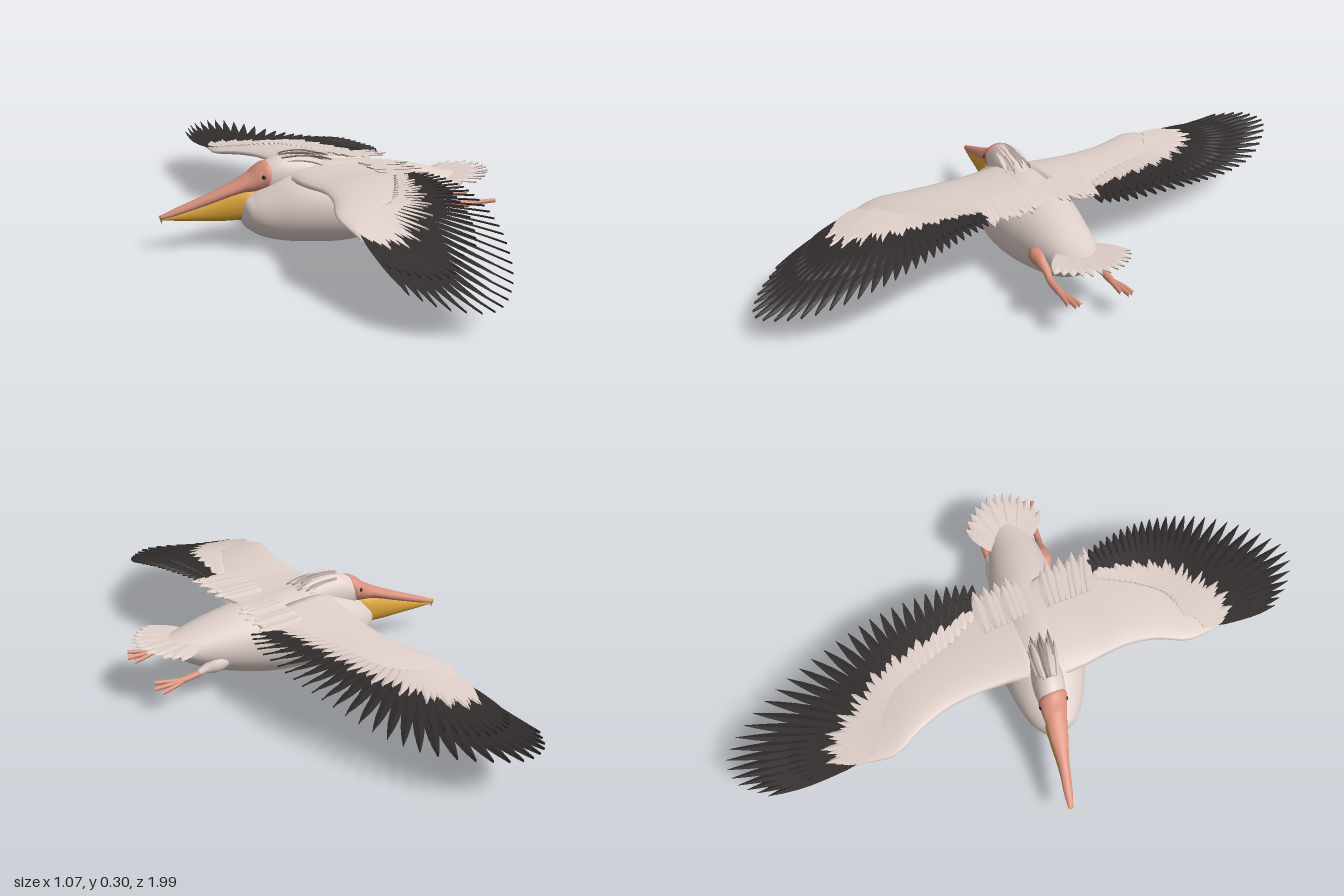
import * as THREE from 'three';
import { mergeGeometries } from 'three/addons/utils/BufferGeometryUtils.js';

const mat = (name, color) => Object.assign(new THREE.MeshStandardMaterial({ color }), { name });

// Smooth lookup: rows are [parameter, ...values]
function table(rows) {
  const k = rows[0].length - 1;
  const it = new THREE.CubicInterpolant(rows.map(r => r[0]), rows.flatMap(r => r.slice(1)), k, new Float32Array(k));
  return t => Array.from(it.evaluate(t));
}

// Closed skin over equal-sized rings of [x, y, z], always facing outward
function loft(rings, flat = false) {
  const n = rings[0].length, m = rings.length, pos = rings.flat(2), idx = [];
  for (let i = 0; i < m - 1; i++) for (let j = 0; j < n; j++) {
    const a = i * n + j, b = i * n + (j + 1) % n;
    idx.push(a, b, a + n, b, b + n, a + n);
  }
  for (let j = 1; j < n - 1; j++) {
    const e = (m - 1) * n;
    idx.push(0, j + 1, j, e, e + j, e + j + 1);
  }
  let vol = 0;
  const p = i => new THREE.Vector3().fromArray(pos, i * 3);
  for (let i = 0; i < idx.length; i += 3) vol += p(idx[i]).dot(p(idx[i + 1]).cross(p(idx[i + 2])));
  if (vol < 0) idx.reverse();
  let g = new THREE.BufferGeometry();
  g.setAttribute('position', new THREE.Float32BufferAttribute(pos, 3));
  g.setIndex(idx);
  if (flat) g = g.toNonIndexed();
  g.computeVertexNormals();
  return g;
}

// Oval sections along x: rows are [x, z, top, bottom, halfWidth]
function ovalLoft(rows, steps = 40, sides = 28) {
  const f = table(rows), x0 = rows[0][0], x1 = rows[rows.length - 1][0], rings = [];
  for (let i = 0; i <= steps; i++) {
    const x = x0 + (x1 - x0) * (1 - Math.cos(Math.PI * i / steps)) / 2;
    const [z, top, bot, w] = f(x), ring = [];
    for (let j = 0; j < sides; j++) {
      const a = j / sides * Math.PI * 2;
      ring.push([x, (top + bot) / 2 + Math.sin(a) * (top - bot) / 2, z + Math.cos(a) * Math.max(w, 0.001)]);
    }
    rings.push(ring);
  }
  return loft(rings);
}

// Thin pointed blade from (x0,z0) to (x1,z1); height(x, z, t) sets y
const SHAPE = [0.6, 0.85, 1, 1, 0.95, 0.8, 0.5, 0.08];
function feather(x0, z0, x1, z1, width, height, tilt = 0.003) {
  const l = Math.hypot(x1 - x0, z1 - z0), sx = -(z1 - z0) / l, sz = (x1 - x0) / l;
  return loft(SHAPE.map((s, i) => {
    const t = i / (SHAPE.length - 1), x = x0 + (x1 - x0) * t, z = z0 + (z1 - z0) * t;
    const y = height(x, z, t), w = s * width / 2;
    return [[x + sx * w, y + tilt, z + sz * w], [x, y + 0.003, z],
      [x - sx * w, y - tilt, z - sz * w], [x, y - 0.003, z]];
  }), true);
}

// Wing: arm rows [u, lead, trail, thickness], heights [u, y],
// quills [t, rootX, rootU, tipX, tipU], where u is the distance from the midline
function makeWing(name, side, arm, heights, quills, pitch, mats) {
  const wing = new THREE.Group();
  wing.name = name;
  const A = table(arm), H = table(heights), Q = table(quills);
  const Y = (x, z) => H(Math.abs(z))[0] + pitch * x;
  const add = (n, g, m) => { const o = new THREE.Mesh(g, m); o.name = n; wing.add(o); };

  // padded white arm
  const rings = [], u0 = arm[0][0], u1 = arm[arm.length - 1][0];
  for (let i = 0; i <= 30; i++) {
    const u = u0 + (u1 - u0) * i / 30, [xl, xt, th] = A(u), ring = [];
    for (let j = 0; j < 20; j++) {
      const a = j / 20 * Math.PI * 2, s = (1 - Math.cos(a)) / 2, x = xl + (xt - xl) * s;
      ring.push([x, Y(x, u) + Math.sin(a) * (th / 2) * (1 - 0.6 * s), side * u]);
    }
    rings.push(ring);
  }
  add('wingArm', loft(rings), mats.white);

  // dark flight feathers with a shorter layer, and white coverts over the roots
  const flight = [], mid = [], covert = [], N = 31;
  for (let i = 0; i < N; i++) {
    const [rx, ru, tx, tu] = Q(i / (N - 1)), long = i < 12;
    const at = k => [rx + (tx - rx) * k, side * (ru + (tu - ru) * k)];
    const lay = (k0, k1, w, dy) => feather(...at(k0), ...at(k1), w, (x, z) => Y(x, z) + dy, 0.003 * side);
    flight.push(lay(0, 1, long ? 0.04 : 0.036, 0));
    mid.push(lay(0, long ? 0.62 : 0.7, 0.042, 0.005));
    const k = 0.2 + 0.05 * (i % 3);
    covert.push(lay(-0.15, k, 0.04, 0.01), lay(-0.15, k, 0.04, -0.008));
  }
  add('flightFeathers', mergeGeometries(flight), mats.dark);
  add('darkCoverts', mergeGeometries(mid), mats.dark);
  add('whiteCoverts', mergeGeometries(covert), mats.white);
  return wing;
}

export function createModel() {
  const model = new THREE.Group();
  model.name = 'flyingPelican';
  const white = mat('pinkish white plumage', 0xdfcfc9), dark = mat('dark flight feather', 0x322d2d),
    pink = mat('salmon skin', 0xd9917c), yellow = mat('yellow pouch', 0xd9a136),
    grey = mat('grey crest', 0xa5978f), black = mat('eye black', 0x1c1615);
  const add = (name, g, m) => {
    const o = new THREE.Mesh(g, m);
    o.name = name;
    model.add(o);
    return o;
  };

  // body with bulging breast and tapering rump
  add('body', ovalLoft([
    [-0.302, 0.02, 0.125, 0.115, 0.005], [-0.295, 0.02, 0.15, 0.085, 0.035], [-0.27, 0.025, 0.172, 0.055, 0.066],
    [-0.23, 0.03, 0.2, 0.032, 0.092], [-0.17, 0.04, 0.235, 0.016, 0.117], [-0.1, 0.05, 0.255, 0.008, 0.135],
    [0, 0.063, 0.263, 0, 0.145], [0.1, 0.075, 0.256, 0.008, 0.138], [0.2, 0.09, 0.245, 0.03, 0.118],
    [0.3, 0.105, 0.223, 0.065, 0.095], [0.38, 0.115, 0.2, 0.11, 0.07], [0.43, 0.12, 0.188, 0.15, 0.045],
    [0.46, 0.123, 0.178, 0.172, 0.01]], 56, 36), white);

  // head lying back on the folded neck
  add('head', ovalLoft([
    [-0.25, 0.015, 0.252, 0.18, 0.03], [-0.22, 0.02, 0.272, 0.17, 0.044], [-0.17, 0.028, 0.29, 0.16, 0.052],
    [-0.12, 0.035, 0.288, 0.16, 0.05], [-0.06, 0.045, 0.272, 0.17, 0.045], [0, 0.055, 0.255, 0.2, 0.02]]), white);
  add('faceSkin', ovalLoft([
    [-0.3, 0.004, 0.218, 0.178, 0.032], [-0.27, 0.01, 0.24, 0.178, 0.039], [-0.24, 0.016, 0.266, 0.18, 0.045],
    [-0.215, 0.021, 0.276, 0.185, 0.047], [-0.2, 0.024, 0.268, 0.195, 0.03]]), pink);
  for (const s of [1, -1]) {
    const eye = add('eye', new THREE.SphereGeometry(0.007, 14, 10), black);
    eye.position.set(-0.235, 0.232, 0.017 + s * 0.042);
  }

  // shaggy crest
  const crest = [], paleCrest = [];
  for (let i = 0; i < 13; i++) {
    const s = (i - 6) / 6, len = 0.12 + 0.035 * ((i * 5) % 4) / 3;
    (i % 2 ? crest : paleCrest).push(feather(-0.17, 0.028 + s * 0.025, -0.17 + len, 0.05 + s * 0.045, 0.018,
      (x, z, t) => 0.289 + 0.03 * t * (1 - t) - 0.012 * t * t - 0.018 * s * s + 0.004 * (i % 3)));
  }
  add('crestFeathers', mergeGeometries(crest), grey);
  add('paleCrestFeathers', mergeGeometries(paleCrest), white);

  // bill: upper mandible, pouch and hooked nail
  add('upperBill', ovalLoft([
    [-0.54, -0.05, 0.118, 0.106, 0.008], [-0.5, -0.041, 0.136, 0.114, 0.014], [-0.4, -0.018, 0.177, 0.143, 0.02],
    [-0.32, -0.001, 0.212, 0.17, 0.032], [-0.25, 0.014, 0.252, 0.185, 0.038]]), pink);
  add('pouch', ovalLoft([
    [-0.532, -0.048, 0.11, 0.103, 0.006], [-0.48, -0.036, 0.128, 0.098, 0.012], [-0.4, -0.018, 0.153, 0.092, 0.019],
    [-0.32, -0.001, 0.183, 0.088, 0.03], [-0.27, 0.01, 0.192, 0.094, 0.034], [-0.24, 0.016, 0.19, 0.13, 0.02]]), yellow);
  const nail = add('billNail', new THREE.ConeGeometry(0.008, 0.028, 10), yellow);
  nail.position.set(-0.537, 0.104, -0.05);
  nail.rotation.z = Math.PI;

  // fanned tail
  const tail = [];
  for (let i = 0; i < 13; i++) {
    const s = (i - 6) / 6, a = 0.08 + s * 0.98, r = 0.195 - 0.012 * s * s;
    tail.push(feather(0.335, 0.108 + s * 0.03, 0.335 + Math.cos(a) * r, 0.112 + Math.sin(a) * r * 0.86, 0.05,
      (x, z, t) => 0.18 + 0.018 * t - 0.014 * s * s * t + 0.002 * (i % 2)));
  }
  add('tailFeathers', mergeGeometries(tail), white);

  // trailing legs with webless toes
  const leg = (name, dz, thighMat, hip, ankle, foot) => {
    const g = new THREE.Group();
    g.name = name;
    const part = (n, geo, m) => { const o = new THREE.Mesh(geo, m); o.name = n; g.add(o); };
    const H = new THREE.Vector3(...hip), K = new THREE.Vector3(...ankle), F = new THREE.Vector3(...foot);
    part('thigh', ovalLoft([
      [H.x - 0.04, H.z, H.y + 0.012, H.y - 0.008, 0.01], [H.x - 0.02, H.z, H.y + 0.027, H.y - 0.022, 0.026],
      [H.x + 0.02, H.z, H.y + 0.022, H.y - 0.03, 0.027], [(H.x + K.x) / 2 + 0.01, (H.z + K.z) / 2, (H.y + K.y) / 2 + 0.014,
        (H.y + K.y) / 2 - 0.015, 0.015], [K.x, K.z, K.y + 0.009, K.y - 0.009, 0.009]], 24, 16), thighMat);
    part('shank', new THREE.TubeGeometry(new THREE.CatmullRomCurve3([K.clone().lerp(H, 0.3), K, F]), 12, 0.011, 10), pink);
    const toes = [-1, 0, 1].map(k => new THREE.TubeGeometry(new THREE.CatmullRomCurve3([
      F.clone().add(new THREE.Vector3(-0.015, 0, 0)), F.clone().add(new THREE.Vector3(0.04, 0.004 * k, 0.014 * k)),
      F.clone().add(new THREE.Vector3(0.095 - 0.012 * Math.abs(k), 0.008 * k, 0.022 * k + dz))]), 10, 0.007, 8));
    part('toes', mergeGeometries(toes), pink);
    model.add(g);
  };
  leg('leftLeg', 0.006, pink, [0.272, 0.147, 0.195], [0.36, 0.112, 0.215], [0.415, 0.106, 0.222]);
  leg('rightLeg', 0.004, white, [0.29, 0.11, 0.03], [0.375, 0.09, 0.034], [0.425, 0.083, 0.038]);

  // wings
  const mats = { white, dark };
  model.add(makeWing('nearWing', 1,
    [[0.05, -0.16, 0.15, 0.07], [0.15, -0.158, 0.18, 0.06], [0.25, -0.15, 0.18, 0.05], [0.32, -0.15, 0.13, 0.045],
      [0.4, -0.165, 0.085, 0.04], [0.5, -0.203, 0.03, 0.034], [0.6, -0.193, -0.06, 0.024], [0.67, -0.183, -0.12, 0.008]],
    [[0.05, 0.235], [0.2, 0.238], [0.3, 0.247], [0.4, 0.247], [0.5, 0.235], [0.6, 0.21], [0.7, 0.178], [0.8, 0.142],
      [0.9, 0.108], [1, 0.086]],
    [[0, -0.17, 0.6, -0.17, 0.85], [0.1, -0.13, 0.6, -0.1, 0.94], [0.2, -0.1, 0.58, 0, 0.99], [0.3, -0.08, 0.57, 0.09, 0.93],
      [0.4, -0.04, 0.55, 0.16, 0.83], [0.5, 0, 0.52, 0.205, 0.72], [0.6, 0.02, 0.49, 0.225, 0.62],
      [0.7, 0.04, 0.45, 0.23, 0.53], [0.8, 0.06, 0.41, 0.225, 0.45], [0.9, 0.08, 0.36, 0.21, 0.37], [1, 0.1, 0.31, 0.19, 0.3]],
    0.06, mats));
  model.add(makeWing('farWing', -1,
    [[0, -0.135, 0.17, 0.07], [0.06, -0.122, 0.19, 0.06], [0.12, -0.115, 0.165, 0.052], [0.2, -0.112, 0.125, 0.046],
      [0.3, -0.12, 0.1, 0.042], [0.4, -0.15, 0.07, 0.038], [0.5, -0.19, 0, 0.03], [0.6, -0.172, -0.06, 0.022],
      [0.66, -0.165, -0.1, 0.008]],
    [[0, 0.23], [0.1, 0.224], [0.2, 0.216], [0.4, 0.198], [0.6, 0.166], [0.8, 0.152], [1, 0.174]],
    [[0, -0.15, 0.6, -0.155, 0.91], [0.1, -0.12, 0.6, -0.09, 0.985], [0.2, -0.09, 0.58, 0, 0.995], [0.3, -0.07, 0.56, 0.09, 0.91],
      [0.4, -0.04, 0.53, 0.17, 0.78], [0.5, 0, 0.49, 0.22, 0.64], [0.6, 0.04, 0.43, 0.25, 0.5],
      [0.7, 0.06, 0.36, 0.268, 0.38], [0.8, 0.08, 0.28, 0.27, 0.26], [0.9, 0.1, 0.2, 0.265, 0.15], [1, 0.13, 0.12, 0.235, 0.07]],
    0.02, mats));

  // loose white shoulder feathers behind the wing roots
  const tert = [];
  for (let i = 0; i < 8; i++) {
    const k = i / 7, end = 0.19 + 0.02 * (i % 2);
    tert.push(feather(0.06, 0.13 + 0.13 * k, end, 0.15 + 0.16 * k, 0.04, (x, z, t) => 0.262 - 0.006 * t + 0.002 * (i % 3)));
    tert.push(feather(0.06, 0.04 - 0.13 * k, end, 0.05 - 0.13 * k, 0.04, (x, z, t) => 0.262 - 0.02 * k - 0.006 * t + 0.002 * (i % 3)));
  }
  add('shoulderFeathers', mergeGeometries(tert), white);
  return model;
}
